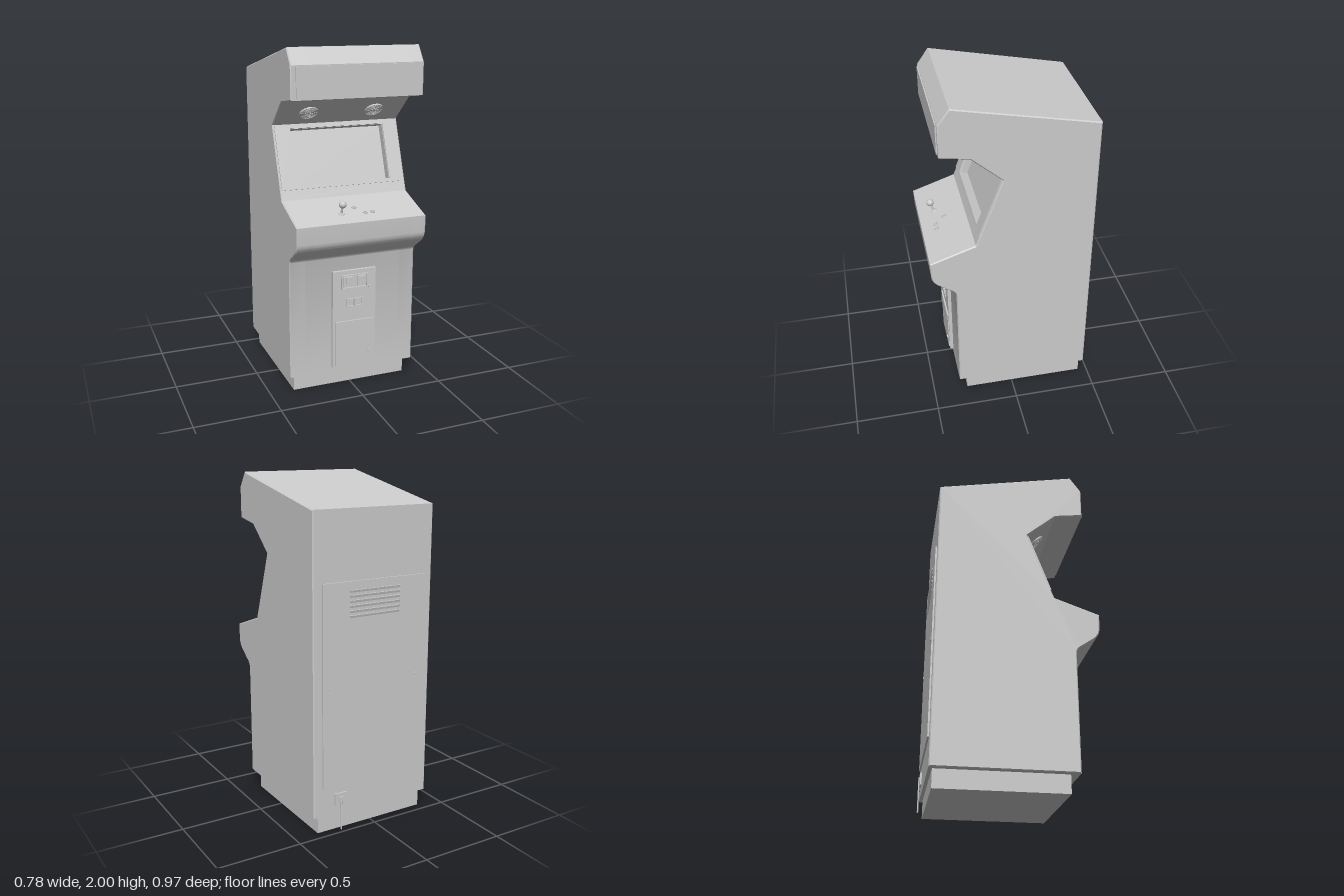
import * as THREE from 'three';
import { toCreasedNormals } from 'three/addons/utils/BufferGeometryUtils.js';

const grey = new THREE.MeshStandardMaterial({ color: 0xcccccc });

function add(parent, name, geo, x = 0, y = 0, z = 0) {
  const m = new THREE.Mesh(geo, grey);
  m.name = name;
  m.position.set(x, y, z);
  parent.add(m);
  return m;
}
const box = (w, h, d) => new THREE.BoxGeometry(w, h, d);
// Cylinder whose axis points along z
const disc = (r, d, r2 = r) => new THREE.CylinderGeometry(r2, r, d, 24).rotateX(Math.PI / 2);

// Group on a sloped face: local +z is the face normal, local +y runs up the slope
function slope(parent, name, y, z, ny, nz) {
  const g = new THREE.Group();
  g.name = name;
  g.position.set(0, y, z);
  g.rotation.x = -Math.atan2(ny, nz);
  parent.add(g);
  return g;
}

// Rectangular plate with a rectangular opening, lying in xy
function framePlate(w, h, iw, ih, d) {
  const rect = (T, a, b) => new T().moveTo(-a, -b).lineTo(a, -b).lineTo(a, b).lineTo(-a, b).closePath();
  const s = rect(THREE.Shape, w / 2, h / 2);
  s.holes.push(rect(THREE.Path, iw / 2, ih / 2));
  return new THREE.ExtrudeGeometry(s, { depth: d, bevelEnabled: false });
}

// Screen slope runs from S0 (bottom) to S1 (top), as (z, y)
const S0 = new THREE.Vector2(0.2, 1.19), S1 = new THREE.Vector2(0.066, 1.55);
const sLen = S0.distanceTo(S1);
const sDir = S1.clone().sub(S0).normalize();
const sNor = new THREE.Vector2(sDir.y, -sDir.x);
const onSlope = (t, out) => S0.clone().addScaledVector(sDir, t).addScaledVector(sNor, out);
const holeLow = 0.025, holeHigh = 0.355, holeDepth = 0.05, holeHalf = 0.29;

// Cabinet side outline, optionally with the screen recess cut in
function outline(recess) {
  const s = new THREE.Shape();
  s.moveTo(-0.465, 0.105).lineTo(0.34, 0.105).lineTo(0.34, 0.8);
  s.quadraticCurveTo(0.342, 0.825, 0.375, 0.843);
  s.lineTo(0.435, 0.885);
  s.quadraticCurveTo(0.478, 0.915, 0.479, 0.96);
  s.lineTo(0.483, 1.05).lineTo(0.22, 1.14).lineTo(S0.x, S0.y);
  if (recess) {
    for (const [t, o] of [[holeLow, 0], [holeLow, -holeDepth], [holeHigh, -holeDepth], [holeHigh, 0]]) {
      const p = onSlope(t, o);
      s.lineTo(p.x, p.y);
    }
  }
  s.lineTo(S1.x, S1.y).lineTo(0.24, 1.7).lineTo(0.405, 1.725);
  s.lineTo(0.405, 1.91).lineTo(0.34, 2).lineTo(-0.465, 1.84).closePath();
  return s;
}

// Extrude the outline across x from x0 to x1
function slab(shape, x0, x1, bevel) {
  const g = new THREE.ExtrudeGeometry(shape, {
    depth: x1 - x0 - 2 * bevel, bevelEnabled: bevel > 0, bevelThickness: bevel,
    bevelSize: bevel, bevelOffset: -bevel, bevelSegments: 1, curveSegments: 10,
  });
  g.translate(0, 0, bevel - (x1 - x0)).rotateY(-Math.PI / 2).translate(x0, 0, 0);
  return toCreasedNormals(g, 0.5);
}

export function createModel() {
  const model = new THREE.Group();
  model.name = 'arcadeCabinet';

  // Cabinet body: two bevelled sides and a middle with the screen recess
  const b = 0.006;
  add(model, 'cabinetMiddle', slab(outline(true), -holeHalf - b, holeHalf + b, 0));
  add(model, 'cabinetLeft', slab(outline(false), holeHalf, 0.39, b));
  add(model, 'cabinetRight', slab(outline(false), -0.39, -holeHalf, b));
  add(model, 'plinth', box(0.71, 0.11, 0.735), 0, 0.055, -0.0775);
  add(model, 'marquee', box(0.72, 0.17, 0.012), 0, 1.82, 0.406);

  // Screen and its bezel
  const mid = onSlope(sLen / 2, 0);
  const display = slope(model, 'display', mid.y, mid.x, sNor.y, sNor.x);
  add(display, 'bezel', framePlate(0.76, sLen - 0.01, 2 * holeHalf, holeHigh - holeLow, 0.007));
  add(display, 'screen', box(0.57, holeHigh - holeLow - 0.01, 0.006), 0, 0, -holeDepth + 0.001);

  // Speaker grilles under the marquee
  const speakers = slope(model, 'speakers', 1.625, 0.153, -0.756, 0.654);
  for (const x of [-0.2, 0.2]) {
    add(speakers, 'speakerPlate', disc(0.055, 0.006), x, 0, 0.002);
    for (const r of [0.014, 0.027, 0.04, 0.052])
      add(speakers, 'speakerRing', new THREE.TorusGeometry(r, 0.003, 6, 28), x, 0, 0.006);
    for (let i = 0; i < 4; i++)
      add(speakers, 'speakerSpoke', box(0.104, 0.003, 0.004), x, 0, 0.006).rotation.z = i * Math.PI / 4;
  }

  // Joystick and buttons on the control panel (origin at panel centre)
  const panel = slope(model, 'controlPanel', 1.095, 0.3515, 0.946, 0.324);
  const stick = new THREE.Group();
  stick.name = 'joystick';
  stick.position.set(-0.095, -0.041, 0);
  panel.add(stick);
  add(stick, 'joystickBase', disc(0.019, 0.006, 0.016), 0, 0, 0.003);
  add(stick, 'joystickShaft', disc(0.007, 0.06, 0.005), 0, 0, 0.03);
  add(stick, 'joystickBall', new THREE.SphereGeometry(0.022, 24, 16), 0, 0, 0.062);
  for (const [x, y] of [[0, 0.01], [0.047, -0.05], [0.092, -0.05]]) {
    add(panel, 'buttonRim', disc(0.015, 0.006, 0.014), x, y, 0.003);
    add(panel, 'buttonCap', disc(0.01, 0.012, 0.009), x, y, 0.006);
  }

  // Coin door
  const coin = new THREE.Group();
  coin.name = 'coinDoor';
  coin.position.z = 0.34;
  model.add(coin);
  add(coin, 'doorPlate', box(0.27, 0.595, 0.02), 0, 0.4325, 0.01);
  add(coin, 'cashDoor', box(0.24, 0.275, 0.008), 0, 0.2825, 0.022);
  add(coin, 'cashDoorLip', box(0.24, 0.008, 0.012), 0, 0.418, 0.023);
  add(coin, 'slotFrame', framePlate(0.165, 0.085, 0.15, 0.07, 0.01), 0, 0.663, 0.02);
  for (const s of [-1, 1]) {
    add(coin, 'coinSlot', box(0.054, 0.06, 0.014), s * 0.042, 0.665, 0.025);
    add(coin, 'coinSlotKey', box(0.036, 0.04, 0.006), s * 0.042 + 0.005, 0.672, 0.034);
    add(coin, 'returnFrame', framePlate(0.052, 0.05, 0.04, 0.038, 0.008), s * 0.027, 0.534, 0.02);
    add(coin, 'returnFlap', box(0.036, 0.034, 0.005), s * 0.027, 0.534, 0.021);
  }
  add(coin, 'slotLock', disc(0.008, 0.012), 0.095, 0.62, 0.024);
  add(coin, 'cashLock', disc(0.008, 0.012), 0.095, 0.215, 0.028);

  // Rear service door with vents and locks; local +z points backwards
  const rear = new THREE.Group();
  rear.name = 'rear';
  rear.position.z = -0.465;
  rear.rotation.y = Math.PI;
  model.add(rear);
  add(rear, 'serviceDoor', box(0.67, 1.17, 0.01), 0, 0.865, 0.005);
  for (let i = 0; i < 6; i++)
    add(rear, 'ventSlat', box(0.33, 0.013, 0.006), 0, 1.255 + i * 0.028, 0.01).rotation.x = 0.25;
  for (const x of [-0.29, 0.29]) add(rear, 'doorLock', disc(0.011, 0.008), x, 0.865, 0.01);

  // Power inlet and hanging cord
  add(rear, 'powerPlate', box(0.078, 0.07, 0.01), -0.217, 0.195, 0.005);
  add(rear, 'powerPlug', box(0.028, 0.032, 0.01), -0.217, 0.192, 0.012);
  const cord = new THREE.CatmullRomCurve3([[0.195, 0.008], [0.185, 0.0135], [0.16, 0.0135], [0.006, 0.0135]]
    .map(([y, z]) => new THREE.Vector3(-0.217, y, z)));
  add(rear, 'powerCord', new THREE.TubeGeometry(cord, 24, 0.0045, 10));
  add(rear, 'cordEnd', new THREE.SphereGeometry(0.0045, 10, 8), -0.217, 0.006, 0.0135);

  return model;
}
